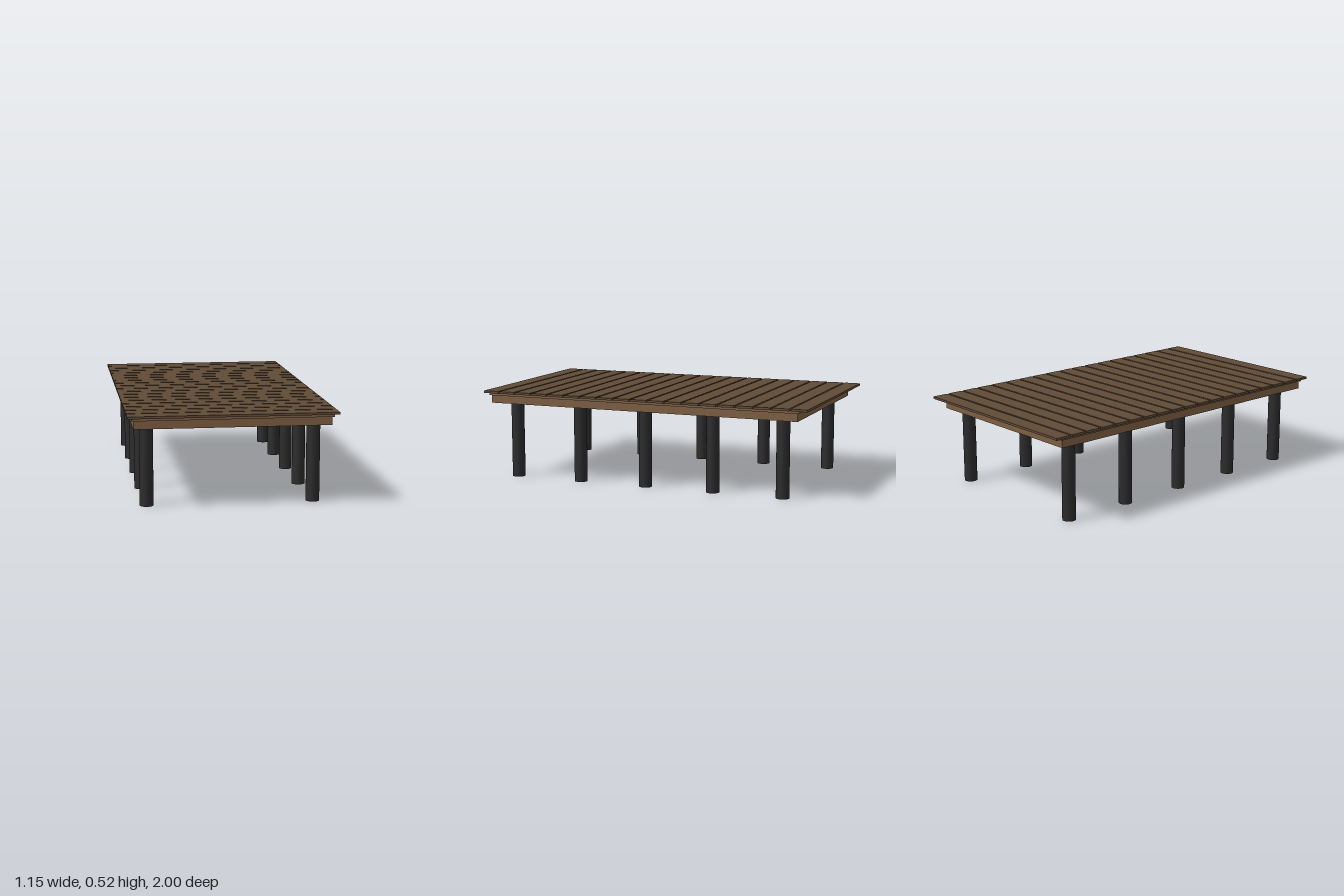
import * as THREE from 'three';

const plankColor = new THREE.MeshStandardMaterial({ color: 0x5f4a36 });
const frameColor = new THREE.MeshStandardMaterial({ color: 0x7d5e43 });
const postColor = new THREE.MeshStandardMaterial({ color: 0x2b2b2b });

// Box given by its size, the height of its underside and its z centre
function slab(name, width, height, depth, y, z, material) {
  const mesh = new THREE.Mesh(new THREE.BoxGeometry(width, height, depth), material);
  mesh.name = name;
  mesh.position.set(0, y + height / 2, z);
  return mesh;
}

export function createModel() {
  const deck = new THREE.Group();
  deck.name = 'deck';

  // Base frame and the slightly wider layer under the planks
  deck.add(slab('baseFrame', 1.08, 0.046, 1.9, 0.449, 0.016, frameColor));
  deck.add(slab('subfloor', 1.1, 0.016, 1.92, 0.495, 0.016, frameColor));

  // Planks laid across the deck with narrow gaps
  const count = 19, plankDepth = 0.095;
  const pitch = (2 - plankDepth) / (count - 1);
  const planks = new THREE.Group();
  planks.name = 'planks';
  for (let i = 0; i < count; i++) {
    const z = -1 + plankDepth / 2 + i * pitch;
    planks.add(slab('plank', 1.15, 0.013, plankDepth, 0.511, z, plankColor));
  }
  deck.add(planks);

  // Two rows of five round posts
  const postGeometry = new THREE.CylinderGeometry(0.038, 0.038, 0.45, 24);
  const posts = new THREE.Group();
  posts.name = 'posts';
  for (const side of [-1, 1]) {
    for (let i = -2; i <= 2; i++) {
      const post = new THREE.Mesh(postGeometry, postColor);
      post.name = 'post';
      post.position.set(side * 0.4625, 0.225, i * 0.416 + 0.002);
      posts.add(post);
    }
  }
  deck.add(posts);

  return deck;
}
